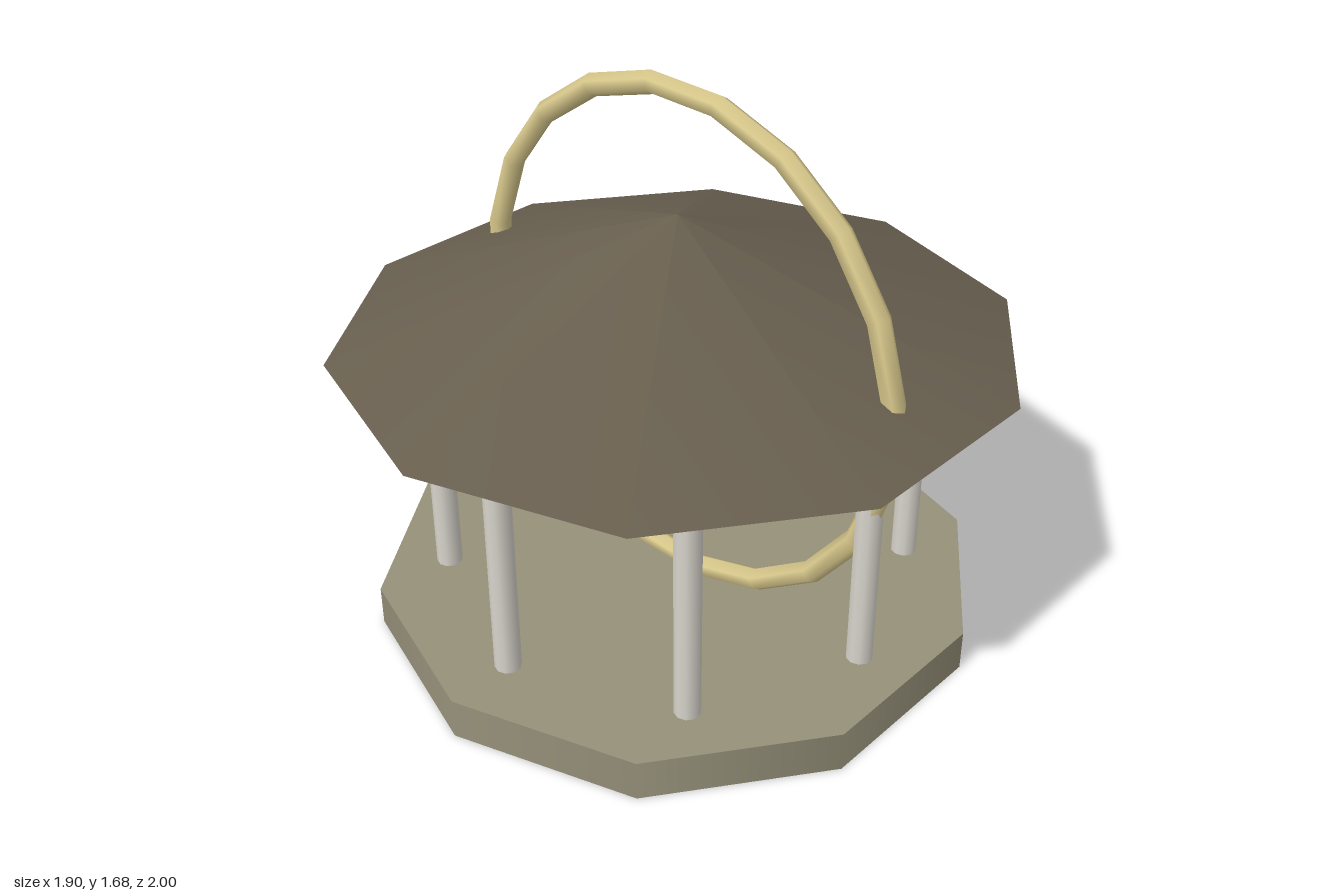
import * as THREE from 'three';

function material(name, color) {
  const m = new THREE.MeshStandardMaterial({ color });
  m.name = name;
  return m;
}

export function createModel() {
  const group = new THREE.Group();
  group.name = 'pavilion';

  const roofBrown = material('roof brown', 0x675e4e);
  const stoneOlive = material('olive stone', 0x96917a);
  const paleGrey = material('pale grey', 0xd8d4cc);
  const strawYellow = material('straw yellow', 0xd9c98c);

  function add(name, geometry, mat, x, y, z) {
    const mesh = new THREE.Mesh(geometry, mat);
    mesh.name = name;
    mesh.position.set(x, y, z);
    group.add(mesh);
    return mesh;
  }

  // ten-sided floor slab and roof, corners on the z axis
  const sides = 10;
  const floorTop = 0.125, eaves = 0.92, peak = 1.29;
  add('base', new THREE.CylinderGeometry(0.917, 0.917, floorTop, sides), stoneOlive, 0, floorTop / 2, 0);
  add('roof', new THREE.ConeGeometry(1, peak - eaves, sides), roofBrown, 0, (eaves + peak) / 2, 0);

  // eight columns in a circle, sunk slightly into floor and roof
  const columnHeight = eaves - floorTop + 0.02;
  const columnGeometry = new THREE.CylinderGeometry(0.039, 0.039, columnHeight, 10);
  for (let i = 0; i < 8; i++) {
    const a = (i / 8) * Math.PI * 2;
    add('column' + (i + 1), columnGeometry, paleGrey,
      0.708 * Math.sin(a), (floorTop + eaves) / 2, 0.708 * Math.cos(a));
  }

  // upright hoop passing through the roof and resting in the floor
  const hoop = add('hoop', new THREE.TorusGeometry(0.766, 0.034, 6, 20), strawYellow, 0, 0.89, 0);
  hoop.rotation.z = THREE.MathUtils.degToRad(7);

  return group;
}
